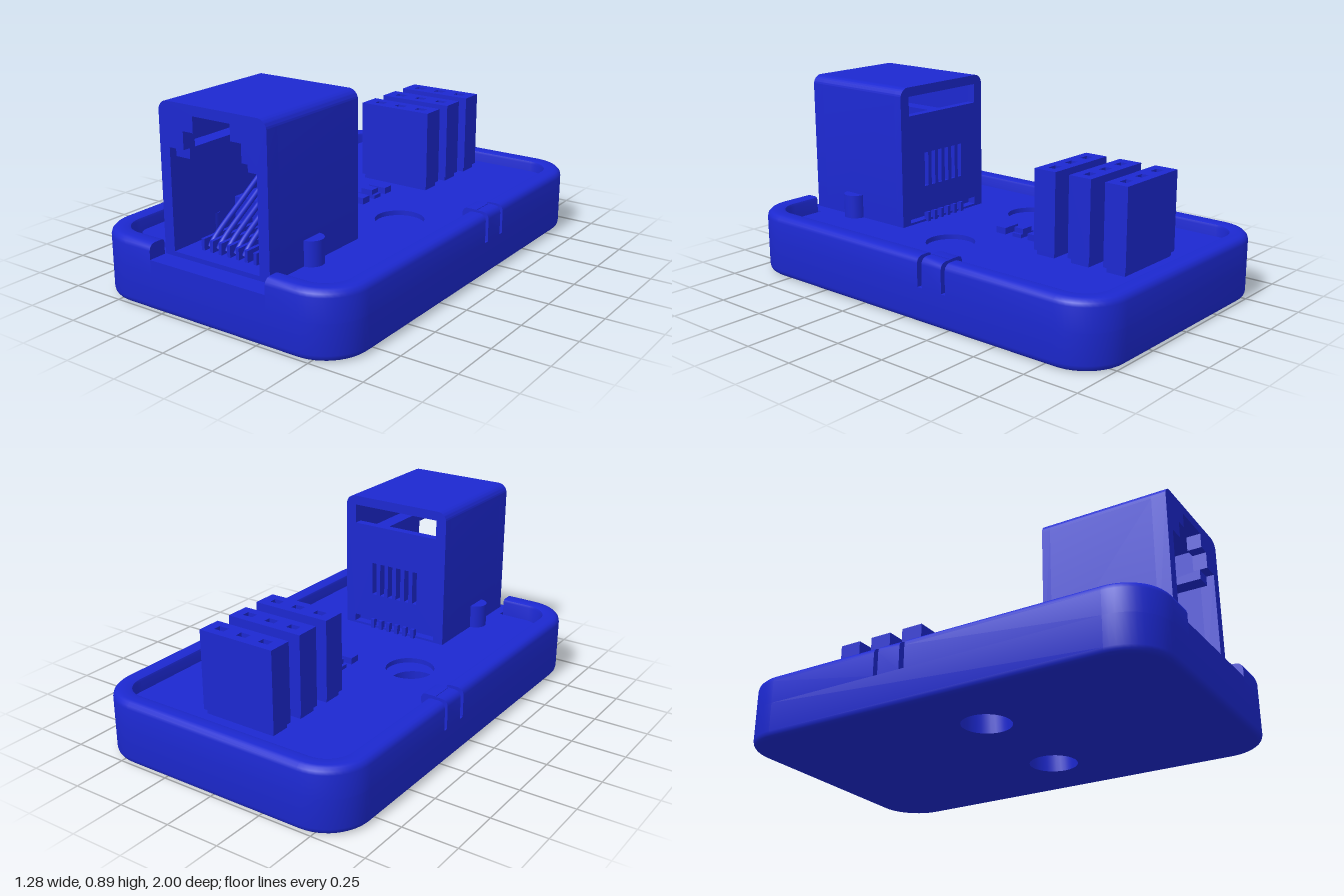
import * as THREE from 'three';
import { toCreasedNormals } from 'three/addons/utils/BufferGeometryUtils.js';

const material = new THREE.MeshStandardMaterial({ color: 0x1c28d0 });

export function createModel() {
  const root = new THREE.Group();
  const add = (name, geometry, parent = root) => {
    const mesh = new THREE.Mesh(geometry, material);
    mesh.name = name;
    parent.add(mesh);
    return mesh;
  };
  const group = (name) => {
    const g = new THREE.Group();
    g.name = name;
    root.add(g);
    return g;
  };
  // box given by its limits
  const box = (name, x0, x1, y0, y1, z0, z1, parent) =>
    add(name, new THREE.BoxGeometry(x1 - x0, y1 - y0, z1 - z0)
      .translate((x0 + x1) / 2, (y0 + y1) / 2, (z0 + z1) / 2), parent);
  const poly = (pts, Type = THREE.Path) => new Type(pts.map(p => new THREE.Vector2(...p)));
  const rect = (x0, x1, y0, y1, Type) => poly([[x0, y0], [x1, y0], [x1, y1], [x0, y1]], Type);
  const circle = (x, y, r) => new THREE.Path().absarc(x, y, r, 0, Math.PI * 2);
  const roundRect = (x0, x1, y0, y1, r) => {
    const s = new THREE.Shape(), q = Math.PI / 2;
    s.absarc(x1 - r, y0 + r, r, -q, 0);
    s.absarc(x1 - r, y1 - r, r, 0, q);
    s.absarc(x0 + r, y1 - r, r, q, 2 * q);
    s.absarc(x0 + r, y0 + r, r, 2 * q, 3 * q);
    return s;
  };
  const extrude = (shape, holes, depth) => {
    shape.holes.push(...holes);
    return toCreasedNormals(new THREE.ExtrudeGeometry(shape,
      { depth, bevelEnabled: false, curveSegments: 16 }), 0.6);
  };
  // horizontal plate: shape y is -z
  const plate = (shape, holes, y0, y1) =>
    extrude(shape, holes, y1 - y0).rotateX(-Math.PI / 2).translate(0, y0, 0);
  const upright = (shape, holes, z0, z1) => extrude(shape, holes, z1 - z0).translate(0, 0, z0);

  // sweep a convex [inset, y] profile along an outline of [x, z, nx, nz]
  function sweep(path, profile, closed = false) {
    const pos = [];
    const at = (i, j) => {
      const [x, z, nx, nz] = path[j % path.length];
      const [inset, y] = profile[i % profile.length];
      return [x - nx * inset, y, z - nz * inset];
    };
    const last = closed ? path.length : path.length - 1;
    for (let j = 0; j < last; j++) for (let i = 0; i < profile.length; i++) {
      const a = at(i, j), b = at(i + 1, j), c = at(i + 1, j + 1), d = at(i, j + 1);
      pos.push(...a, ...b, ...c, ...a, ...c, ...d);
    }
    if (!closed) for (let i = 1; i < profile.length - 1; i++) {
      pos.push(...at(0, 0), ...at(i + 1, 0), ...at(i, 0));
      pos.push(...at(0, last), ...at(i, last), ...at(i + 1, last));
    }
    const g = new THREE.BufferGeometry();
    g.setAttribute('position', new THREE.Float32BufferAttribute(pos, 3));
    return toCreasedNormals(g, 0.6);
  }
  const R = 0.2;
  const corner = (sx, sz, startDeg) => Array.from({ length: 13 }, (_, i) => {
    const a = (startDeg - i * 7.5) * Math.PI / 180, c = Math.cos(a), s = Math.sin(a);
    return [sx * (0.64 - R) + R * c, sz * (1 - R) + R * s, c, s];
  });
  const frontRight = corner(1, 1, 90), backRight = corner(1, -1, 0);
  const backLeft = corner(-1, -1, -90), frontLeft = corner(-1, 1, 180);

  // tray: rounded lower shell and floor with two screw holes
  const tray = group('tray');
  add('lowerShell', sweep([...frontRight, ...backRight, ...backLeft, ...frontLeft],
    [[0, 0.16], [0, 0.03], [0.003, 0.017], [0.009, 0.009], [0.017, 0.003], [0.03, 0], [0.085, 0], [0.085, 0.16]], true), tray);
  add('floor', plate(roundRect(-0.555, 0.555, -0.915, 0.915, 0.115),
    [circle(-0.285, -0.08, 0.11), circle(0.285, -0.08, 0.11)], 0, 0.16), tray);

  // rim in three runs, leaving the front notch and the side slots open
  const rim = [[0, 0.16], [0.085, 0.16], [0.085, 0.278], [0.081, 0.289], [0.07, 0.293],
    [0.03, 0.293], [0.015, 0.289], [0.004, 0.278], [0, 0.263]];
  add('frontRimLeft', sweep([[0.3, 1, 0, 1], ...frontRight, [0.64, -0.095, 1, 0]], rim), tray);
  add('frontRimRight', sweep([[-0.64, -0.095, -1, 0], ...frontLeft, [-0.3, 1, 0, 1]], rim), tray);
  add('backRim', sweep([[0.64, -0.25, 1, 0], ...backRight, ...backLeft, [-0.64, -0.25, -1, 0]], rim), tray);
  box('frontSill', -0.3, 0.3, 0.16, 0.225, 0.85, 1, tray);

  // snap clips in the side slots, and pegs beside the socket
  for (const s of [1, -1]) {
    const ends = [[s * 0.64, -0.12, s, 0], [s * 0.64, -0.228, s, 0]];
    if (s < 0) ends.reverse();
    add('clipArm', sweep(ends, rim), tray);
    add('clipHook', sweep(ends, [[0.06, 0.243], [0.125, 0.243], [0.13, 0.255], [0.13, 0.275],
      [0.122, 0.29], [0.11, 0.295], [0.06, 0.295]]), tray);
    add('peg', new THREE.CylinderGeometry(0.053, 0.053, 0.13, 32)
      .translate(s * 0.272, 0.285, 0.67), tray);
  }

  // circuit board
  add('circuitBoard', plate(roundRect(-0.542, 0.542, -0.85, 0.915, 0.08),
    [circle(-0.285, -0.045, 0.11), circle(0.285, -0.045, 0.11)], 0.218, 0.24));

  // small surface parts
  const chips = group('surfaceParts');
  for (const z of [-0.225, -0.045]) box('resistor', -0.045, 0.045, 0.24, 0.27, z - 0.026, z + 0.026, chips);
  box('lampBase', -0.045, 0.045, 0.24, 0.257, -0.162, -0.112, chips);
  box('lampLens', -0.03, 0.03, 0.257, 0.28, -0.162, -0.112, chips);

  // three-way pin sockets
  const headers = group('pinSockets');
  for (const z of [-0.76, -0.58, -0.4]) {
    const holes = [-0.113, 0, 0.113].map(x => rect(x - 0.024, x + 0.024, -z - 0.017, -z + 0.017));
    add('pinSocket', plate(rect(-0.185, 0.182, -z - 0.055, -z + 0.055, THREE.Shape), holes, 0.262, 0.62), headers);
    box('socketBase', -0.175, 0.172, 0.24, 0.3, z - 0.045, z + 0.045, headers);
    for (const x of [-0.113, 0, 0.113]) box('contact', x - 0.012, x + 0.012, 0.3, 0.605, z - 0.008, z + 0.008, headers);
  }

  // cable jack: stepped face, hollow body, slotted back
  const jack = group('cableJack');
  const outline = () => {
    const s = new THREE.Shape(), r = 0.045;
    s.moveTo(-0.273, 0.24);
    s.lineTo(0.273, 0.24);
    s.absarc(0.273 - r, 0.888 - r, r, 0, Math.PI / 2);
    s.absarc(-0.273 + r, 0.888 - r, r, Math.PI / 2, Math.PI);
    return s;
  };
  const opening = poly([[-0.222, 0.26], [0.222, 0.26], [0.222, 0.7], [0.148, 0.7], [0.148, 0.777], [0.095, 0.777],
    [0.095, 0.845], [-0.095, 0.845], [-0.095, 0.777], [-0.148, 0.777], [-0.148, 0.7], [-0.222, 0.7]]);
  add('jackFace', upright(outline(), [opening], 0.87, 0.935), jack);
  add('jackBody', upright(outline(), [rect(-0.222, 0.222, 0.26, 0.845)], 0.39, 0.87), jack);
  const wireX = [-0.113, -0.068, -0.022, 0.024, 0.068, 0.113];
  const back = outline();
  add('jackBack', upright(back, [rect(-0.222, 0.222, 0.755, 0.845), rect(-0.222, 0.222, 0.25, 0.285),
    ...wireX.map(x => rect(x - 0.012, x + 0.012, 0.41, 0.57))], 0.35, 0.39), jack);
  for (const s of [-1, 1])
    box('latchShoulder', s > 0 ? 0.148 : -0.222, s > 0 ? 0.222 : -0.148, 0.655, 0.7, 0.39, 0.9, jack);

  // contact block, comb and spring wires
  box('contactStep', -0.222, 0.222, 0.26, 0.39, 0.39, 0.56, jack);
  box('contactBlock', -0.146, 0.146, 0.26, 0.565, 0.39, 0.44, jack);
  for (let i = 0; i < 7; i++) {
    const x = -0.136 + i * 0.0455;
    box('combTooth', x - 0.008, x + 0.008, 0.26, 0.31, 0.56, 0.86, jack);
  }
  for (const x of wireX.slice(0, 5)) {
    const path = new THREE.CatmullRomCurve3([[0.54, 0.42], [0.53, 0.46], [0.42, 0.64], [0.3, 0.82], [0.272, 0.84], [0.27, 0.8]]
      .map(([y, z]) => new THREE.Vector3(x, y, z)));
    add('springWire', new THREE.TubeGeometry(path, 24, 0.012, 10), jack);
  }
  for (const x of wireX) box('solderPin', x - 0.009, x + 0.009, 0.24, 0.285, 0.335, 0.36, jack);

  return root;
}
